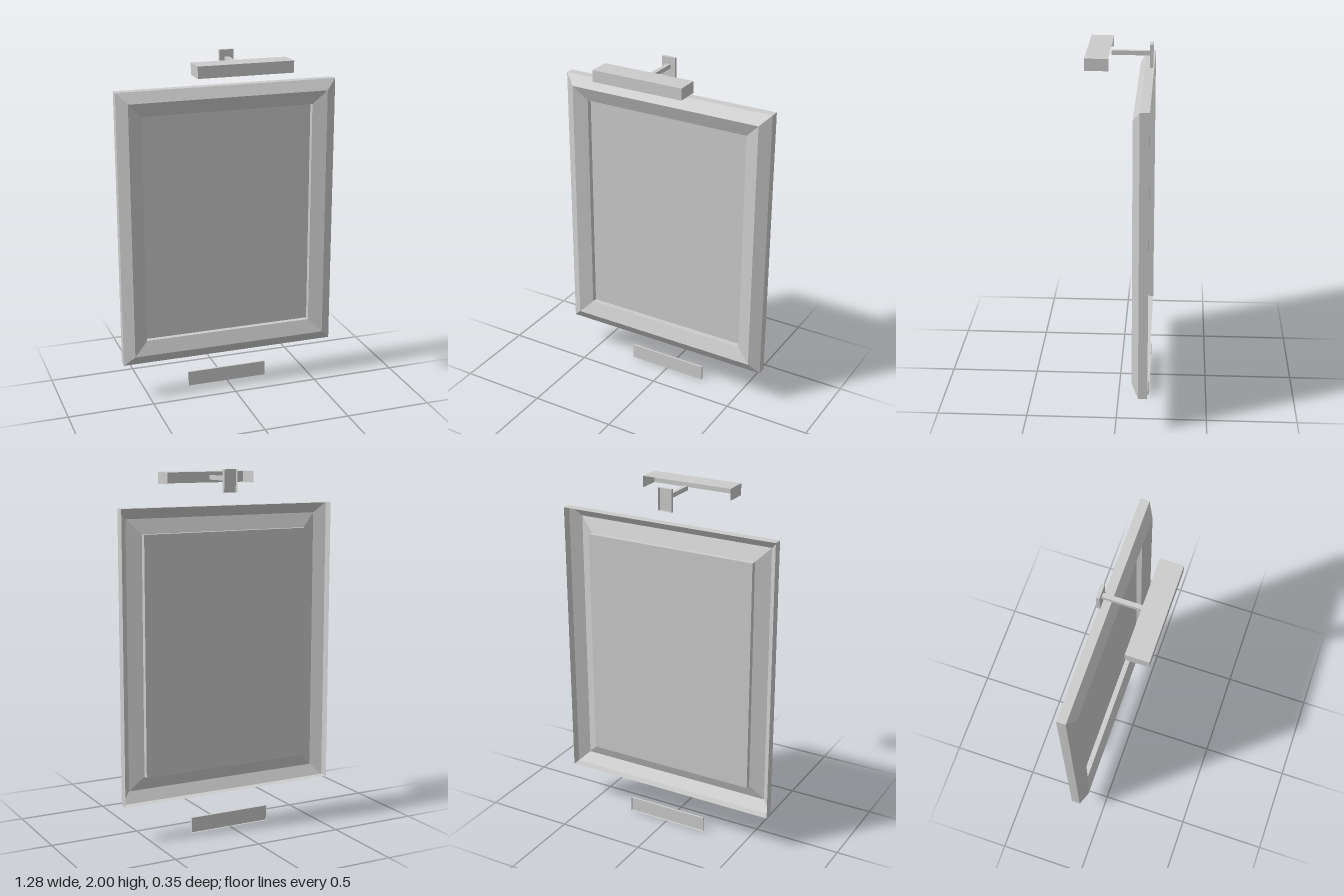
import * as THREE from 'three';

const CENTER_Y = 1.007, HALF_W = 0.5, HALF_H = 0.66;

// Box between two corners that keeps only the listed sides (+x -x +y -y +z -z = 0..5)
function openBox(min, max, sides) {
  const size = max.map((v, i) => v - min[i]);
  const g = new THREE.BoxGeometry(...size);
  const index = Array.from(g.index.array);
  g.setIndex(sides.flatMap(s => index.slice(s * 6, s * 6 + 6)));
  g.clearGroups();
  g.translate(...max.map((v, i) => (v + min[i]) / 2));
  return g;
}

// Sweep a moulding profile of [outward offset, z] around the picture with mitred corners
function mouldingGeometry(profile) {
  const corners = [[-1, -1], [1, -1], [1, 1], [-1, 1]];
  const point = (c, [d, z]) => [
    corners[c % 4][0] * (HALF_W + d), CENTER_Y + corners[c % 4][1] * (HALF_H + d), z];
  const pos = [];
  for (let c = 0; c < 4; c++) {
    for (let i = 0; i < profile.length - 1; i++) {
      const a = point(c, profile[i]), b = point(c + 1, profile[i]);
      const e = point(c + 1, profile[i + 1]), f = point(c, profile[i + 1]);
      pos.push(...a, ...b, ...e, ...a, ...e, ...f);
    }
  }
  const g = new THREE.BufferGeometry();
  g.setAttribute('position', new THREE.Float32BufferAttribute(pos, 3));
  g.computeVertexNormals();
  return g;
}

export function createModel() {
  const group = new THREE.Group();
  const grey = new THREE.MeshStandardMaterial({ color: 0xcccccc, side: THREE.DoubleSide });
  grey.name = 'light grey';
  const add = (name, geometry) => {
    const mesh = new THREE.Mesh(geometry, grey);
    mesh.name = name;
    group.add(mesh);
    return mesh;
  };

  // Frame moulding, hollow at the back: outer wall, bevel, inner slope, rebate
  add('frame', mouldingGeometry([
    [0.14, -0.175], [0.14, -0.125], [0.08, -0.088], [0, -0.117], [0, -0.147]]));

  // Picture surface
  add('picture', new THREE.PlaneGeometry(HALF_W * 2, HALF_H * 2))
    .position.set(0, CENTER_Y, -0.147);

  // Label below the frame, open towards the wall
  add('label', openBox([-0.24, 0, -0.175], [0.24, 0.088, -0.164], [0, 1, 2, 3, 4]));

  // Picture light: wall plate, arm, and hood open at the back and underside
  add('lampWallPlate', openBox([-0.04, 1.875, -0.175], [0.04, 2, -0.157], [0, 1, 2, 3, 4]));
  add('lampArm', openBox([-0.012, 1.937, -0.157], [0.012, 1.961, 0.05], [0, 1, 2, 3, 4]));
  add('lampHood', openBox([-0.268, 1.915, 0.05], [0.268, 1.98, 0.175], [0, 1, 2, 4]));

  return group;
}
